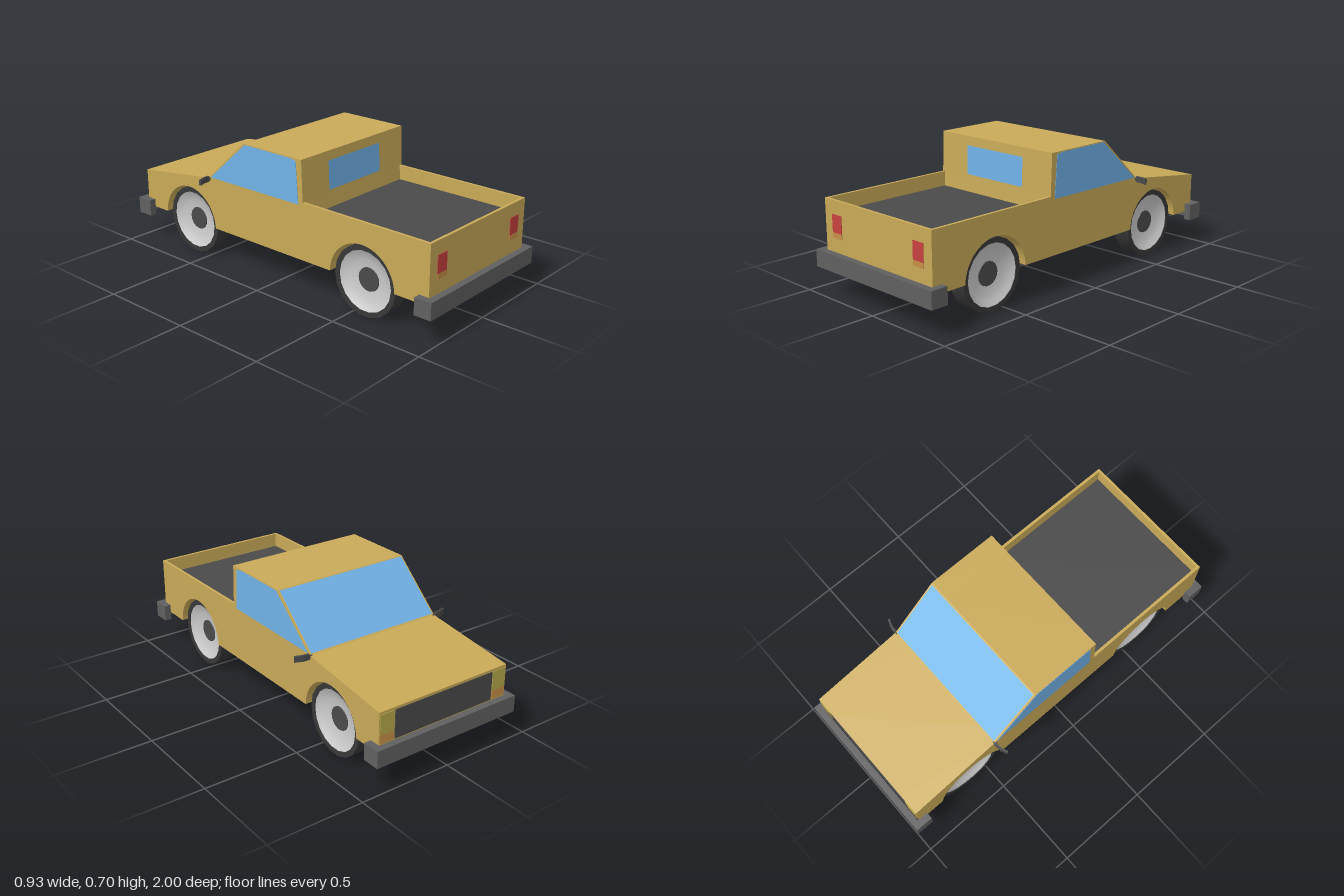
import * as THREE from 'three';
import { toCreasedNormals } from 'three/addons/utils/BufferGeometryUtils.js';

const mat = (color) => new THREE.MeshStandardMaterial({ color, side: THREE.DoubleSide });

export function createModel() {
  const truck = new THREE.Group();
  truck.name = 'pickupTruck';

  const paint = mat(0xc9aa58), glass = mat(0x70b2e8), dark = mat(0x4a4a4a);
  const bumperGrey = mat(0x606060), tyreBlack = mat(0x383838), rimGrey = mat(0xcccccc);
  const red = mat(0xc84040), orange = mat(0xc88f48), yellow = mat(0xb5a84a);

  const HALF = 0.385, WELL = 0.268, FLOOR = 0.41, BASE = 0.19;
  const AXLES = [-0.61, 0.575], AXLE_Y = 0.183, TYRE_R = 0.182, ARCH_R = 0.194;

  const add = (name, geometry, material, parent = truck) => {
    const mesh = new THREE.Mesh(geometry, material);
    mesh.name = name;
    parent.add(mesh);
    return mesh;
  };
  // Box given by its minimum and maximum corners
  const box = (name, a, b, material) => {
    const mesh = add(name, new THREE.BoxGeometry(b[0] - a[0], b[1] - a[1], b[2] - a[2]), material);
    mesh.position.set((a[0] + b[0]) / 2, (a[1] + b[1]) / 2, (a[2] + b[2]) / 2);
    return mesh;
  };
  // Flat four-cornered panel, corners counter-clockwise from outside
  const quad = (name, corners, material) => {
    const g = new THREE.BufferGeometry();
    g.setAttribute('position', new THREE.Float32BufferAttribute(corners.flat(), 3));
    g.setIndex([0, 1, 2, 0, 2, 3]);
    g.computeVertexNormals();
    return add(name, g, material);
  };
  // Side profile in (z, y), extruded across x from x0 to x1
  const slab = (name, shape, x0, x1, material) => {
    const depth = x1 - x0;
    const g = new THREE.ExtrudeGeometry(shape, { depth, bevelEnabled: false, curveSegments: 20 });
    g.translate(0, 0, -depth / 2).rotateY(-Math.PI / 2);
    add(name, g, material).position.x = (x0 + x1) / 2;
  };

  // Body profile, with or without wheel arches along the sill
  const bodyShape = (arches) => {
    const s = new THREE.Shape();
    s.moveTo(-0.96, BASE);
    if (arches) {
      const a = Math.asin((BASE - AXLE_Y) / ARCH_R);
      for (const z of AXLES) {
        s.lineTo(z - ARCH_R * Math.cos(a), BASE);
        s.absarc(z, AXLE_Y, ARCH_R, Math.PI - a, a, true);
      }
    }
    [[0.96, BASE], [0.96, FLOOR], [0.212, FLOOR], [0.208, 0.49], [0.2, 0.703],
      [-0.19, 0.703], [-0.455, 0.463], [-0.96, 0.395]].forEach(([z, y]) => s.lineTo(z, y));
    s.closePath();
    return s;
  };
  slab('bodyCore', bodyShape(false), -WELL, WELL, paint);
  slab('leftBodySide', bodyShape(true), WELL, HALF, paint);
  slab('rightBodySide', bodyShape(true), -HALF, -WELL, paint);

  // Cargo bed
  box('leftBedWall', [0.37, FLOOR, 0.2], [HALF, 0.49, 0.96], paint);
  box('rightBedWall', [-HALF, FLOOR, 0.2], [-0.37, 0.49, 0.96], paint);
  box('tailgate', [-0.37, FLOOR, 0.945], [0.37, 0.49, 0.96], paint);
  box('bedFloor', [-0.37, FLOOR - 0.005, 0.205], [0.37, FLOOR + 0.003, 0.945], dark);

  // Windscreen and rear window
  quad('windscreen', [[0.376, 0.471, -0.45], [-0.376, 0.471, -0.45],
    [-0.376, 0.7, -0.197], [0.376, 0.7, -0.197]], glass);
  quad('rearWindow', [[-0.195, 0.505, 0.211], [0.195, 0.505, 0.211],
    [0.195, 0.655, 0.205], [-0.195, 0.655, 0.205]], glass);

  // Side windows
  const pane = new THREE.Shape([[0.18, 0.475], [0.165, 0.69], [0.13, 0.698], [-0.18, 0.698], [-0.437, 0.47]]
    .map(([z, y]) => new THREE.Vector2(z, y)));
  slab('leftWindow', pane, HALF - 0.004, HALF + 0.002, glass);
  slab('rightWindow', pane, -HALF - 0.002, -HALF + 0.004, glass);

  // Grille
  box('grille', [-0.295, 0.235, -0.963], [0.295, 0.382, -0.95], dark);

  for (const side of [1, -1]) {
    const label = side > 0 ? 'left' : 'right';
    const sideBox = (name, x0, x1, y0, y1, z0, z1, m) =>
      box(label + name, [side > 0 ? x0 : -x1, y0, z0], [side > 0 ? x1 : -x0, y1, z1], m);

    // Lamps
    sideBox('HeadLamp', 0.3, 0.38, 0.28, 0.382, -0.963, -0.95, yellow);
    sideBox('FrontIndicator', 0.3, 0.38, 0.235, 0.28, -0.963, -0.95, orange);
    sideBox('TailLamp', 0.26, 0.33, 0.33, 0.42, 0.95, 0.963, red);
    sideBox('RearIndicator', 0.26, 0.33, 0.302, 0.33, 0.95, 0.963, orange);

    // Bumper ends wrapping round the corners
    sideBox('FrontBumperEnd', HALF, 0.422, 0.145, 0.233, -0.965, -0.907, bumperGrey);
    sideBox('RearBumperEnd', HALF, 0.422, 0.145, 0.233, 0.907, 0.965, bumperGrey);

    // Door mirror: short stem and two-part swept paddle
    sideBox('MirrorStem', 0.375, 0.398, 0.452, 0.467, -0.457, -0.443, dark);
    const plan = new THREE.Shape([[0.39, -0.458], [0.425, -0.456], [0.465, -0.44],
      [0.46, -0.43], [0.425, -0.444], [0.39, -0.446]].map(([x, z]) => new THREE.Vector2(side * x, -z)));
    const paddle = new THREE.ExtrudeGeometry(plan, { depth: 0.03, bevelEnabled: false });
    add(label + 'Mirror', paddle.rotateX(-Math.PI / 2), dark).position.y = 0.445;
  }

  // Bumper bars
  box('frontBumper', [-0.422, 0.145, -1], [0.422, 0.233, -0.965], bumperGrey);
  box('rearBumper', [-0.422, 0.145, 0.965], [0.422, 0.233, 1], bumperGrey);

  // Wheels: tyre, dished rim and hub cap turned about the axle
  const lathe = (pts) => toCreasedNormals(
    new THREE.LatheGeometry(pts.map(([r, y]) => new THREE.Vector2(r, y)), 18), 0.6);
  const tyre = lathe([[0, -0.045], [TYRE_R, -0.045], [TYRE_R, 0.045], [0.156, 0.045], [0.154, 0.036]]);
  const rim = lathe([[0.156, 0.042], [0.13, 0.027], [0.1, 0.017], [0.06, 0.012]]);
  const cap = lathe([[0.062, 0.01], [0.06, 0.016], [0, 0.016]]);
  AXLES.forEach((z, i) => {
    for (const side of [1, -1]) {
      const wheel = new THREE.Group();
      wheel.name = (i ? 'rear' : 'front') + (side > 0 ? 'Left' : 'Right') + 'Wheel';
      add('tyre', tyre, tyreBlack, wheel);
      add('rim', rim, rimGrey, wheel);
      add('hubCap', cap, dark, wheel);
      wheel.rotation.z = -side * Math.PI / 2;
      wheel.position.set(side * 0.315, AXLE_Y, z);
      truck.add(wheel);
    }
  });

  return truck;
}
